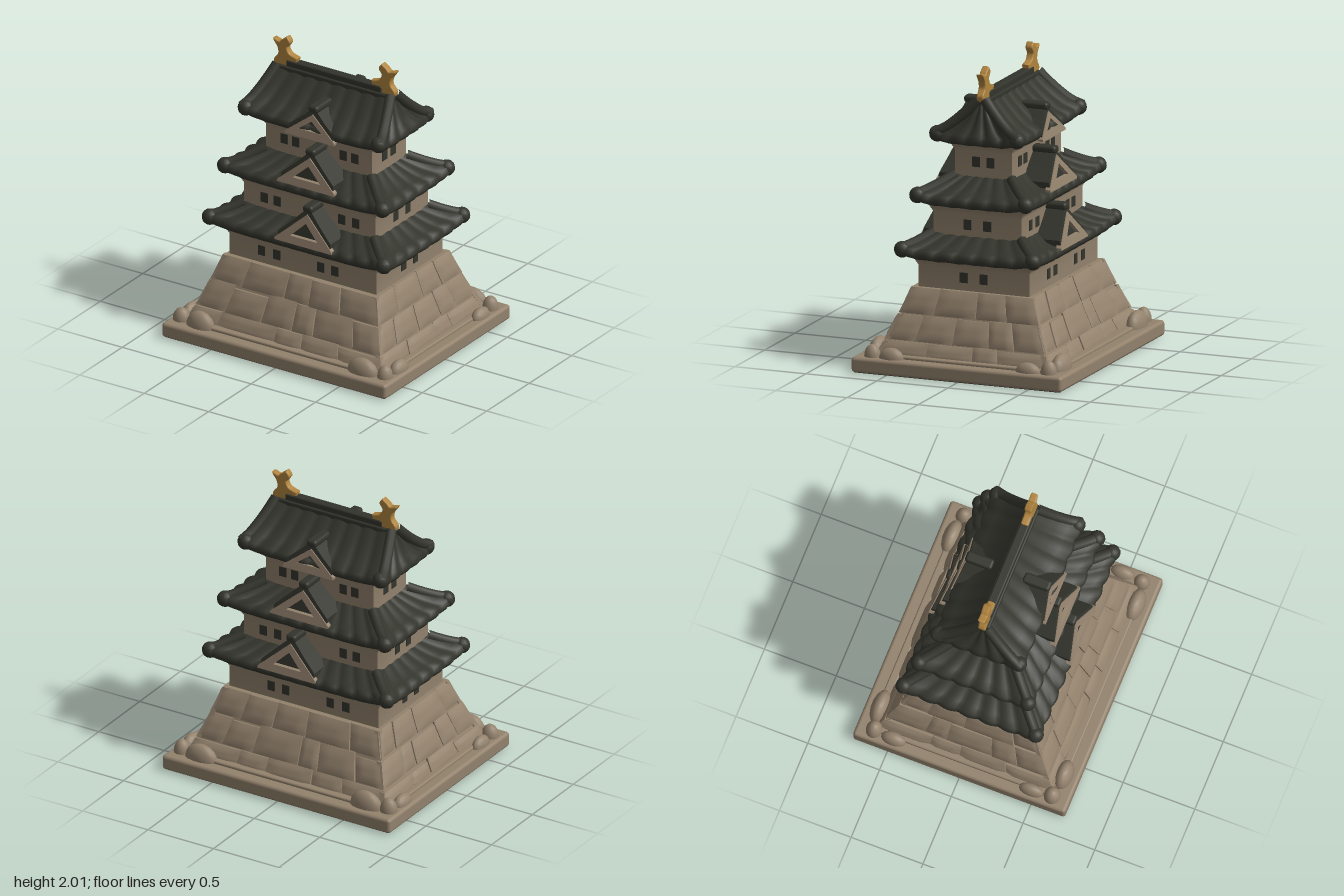
import * as THREE from 'three';
import { RoundedBoxGeometry } from 'three/addons/geometries/RoundedBoxGeometry.js';

const mat = (name, color) => Object.assign(new THREE.MeshStandardMaterial({ color }), { name });

export function createModel() {
  const stone = mat('sandstone', 0x93826d);
  const tile = mat('dark tile', 0x33342c);
  const gold = mat('gold', 0xb0843f);
  const root = new THREE.Group();
  let seed = 7;
  const rnd = () => (seed = (seed * 16807) % 2147483647) / 2147483647;

  const add = (parent, name, geo, material, x = 0, y = 0, z = 0) => {
    const m = new THREE.Mesh(geo, material);
    m.name = name;
    m.position.set(x, y, z);
    parent.add(m);
    return m;
  };

  // Point on side s of a rectangle, u runs left to right seen from outside
  const onSide = (s, u, hx, hz, y) => s === 0 ? [u * hx, y, hz] : s === 1 ? [hx, y, -u * hz]
    : s === 2 ? [-u * hx, y, -hz] : [-hx, y, u * hz];

  // Four-sided loft through rings [halfX, halfZ, y, tileWeight]
  function loft(rings, tileWidth = 0, lift = 0) {
    const pos = [], idx = [];
    for (let s = 0; s < 4; s++) {
      const half = s % 2 ? rings[2][1] : rings[2][0];
      const k = tileWidth ? Math.round(2 * half / tileWidth) : 1;
      const n = tileWidth ? k * 6 : 1, start = pos.length / 3;
      rings.forEach(([hx, hz, y, w = 0], j) => {
        for (let i = 0; i <= n; i++) {
          const u = -1 + 2 * i / n;
          const b = w * 0.016 * (Math.abs(Math.sin(Math.PI * k * i / n)) - 0.5);
          pos.push(...onSide(s, u, hx + (s % 2 ? b : 0), hz + (s % 2 ? 0 : b), y + b * 0.5 + w * lift * u ** 6));
          if (j && i) {
            const c = start + j * (n + 1) + i, a = c - n - 1;
            idx.push(a - 1, a, c, a - 1, c, c - 1);
          }
        }
      });
    }
    const g = new THREE.BufferGeometry();
    g.setAttribute('position', new THREE.Float32BufferAttribute(pos, 3));
    g.setIndex(idx);
    g.computeVertexNormals();
    return g;
  }

  // Ground slab with a dark underside
  add(root, 'groundSlab', new RoundedBoxGeometry(1.74, 0.102, 1.48, 3, 0.022), stone, 0, 0.054, 0);
  add(root, 'slabUnderside', new THREE.BoxGeometry(1.7, 0.006, 1.44), tile, 0, 0.003, 0);

  // Battered stone base: core and bulging blocks
  const batter = y => {
    const t = (0.55 - y) / 0.45, c = 0.85 * t + 0.15 * t * t;
    return [0.6 + 0.165 * c, 0.43 + 0.19 * c];
  };
  const courses = [0.1, 0.21, 0.38, 0.55];
  const core = courses.map(y => [...batter(y).map(h => h - 0.012), y - 0.008]);
  add(root, 'baseCore', loft([...core, [0.55, 0.37, 0.545]]), stone);
  const base = new THREE.Group();
  base.name = 'baseStones';
  root.add(base);
  for (let s = 0; s < 4; s++) for (let c = 0; c < 3; c++) {
    const n = (s % 2 ? 5 : 6) - (c === 1 ? 0 : 1);
    const cuts = Array.from({ length: n + 1 }, (_, i) =>
      -1 + 2 * (i === 0 || i === n ? i : i + (rnd() - 0.5) * 0.5) / n);
    for (let i = 0; i < n; i++) {
      const g = new THREE.BoxGeometry(1, 1, 1, 6, 5, 1), p = g.attributes.position;
      const out = 0.002 + rnd() * 0.014, drop = c === 2 ? 0 : (rnd() - 0.5) * 0.03;
      for (let v = 0; v < p.count; v++) {
        const a = p.getX(v), b = p.getY(v);
        const u = THREE.MathUtils.lerp(cuts[i] + 0.004, cuts[i + 1] - 0.004, a + 0.5);
        const y = THREE.MathUtils.lerp(courses[c], courses[c + 1] - 0.006, b + 0.5) + drop * (b + 0.5);
        const edge = Math.max(Math.abs(2 * a), Math.abs(2 * b)) ** 6;
        const d = p.getZ(v) > 0 ? out - 0.014 * edge : -0.04;
        const [hx, hz] = batter(y);
        p.setXYZ(v, ...onSide(s, u, hx + (s % 2 ? d : 0), hz + (s % 2 ? 0 : d), y));
      }
      g.computeVertexNormals();
      add(base, 'stoneBlock', g, stone);
    }
  }

  // Three boulders on each slab corner and rubble strips along the foot
  const ball = new THREE.SphereGeometry(1, 14, 10);
  const boulder = (x, z, rx, ry, rz) => add(root, 'boulder', ball, stone, x, 0.105, z)
    .scale.set(rx * (0.9 + 0.2 * rnd()), ry * (0.9 + 0.2 * rnd()), rz);
  for (const s of [-1, 1]) {
    for (const t of [-1, 1]) {
      boulder(s * 0.63, t * 0.64, 0.11, 0.1, 0.06);
      boulder(s * 0.79, t * 0.62, 0.055, 0.085, 0.055);
      boulder(s * 0.805, t * 0.48, 0.045, 0.065, 0.085);
    }
    add(root, 'rubbleStrip', new RoundedBoxGeometry(1.46, 0.03, 0.06, 2, 0.012), stone, 0, 0.11, s * 0.63);
    add(root, 'rubbleStrip', new RoundedBoxGeometry(0.05, 0.03, 1.18, 2, 0.012), stone, s * 0.775, 0.11, 0);
  }

  // Gabled dormer: curved roof, triangular frame and dark recess, leaning back
  function dormer(x, y, z, w, h, depth, turn) {
    const g = new THREE.Group();
    g.name = 'dormer';
    const poly = pts => pts.map(p => new THREE.Vector2(...p));
    const leaning = (shape, d) => {
      const geo = new THREE.ExtrudeGeometry(shape, { depth: d, bevelEnabled: false });
      const p = geo.attributes.position;
      for (let v = 0; v < p.count; v++) p.setZ(v, p.getZ(v) - 0.25 * p.getY(v));
      geo.computeVertexNormals();
      return geo;
    };
    const slope = [[w * 0.5, h * 0.5 + 0.04], [w * 0.92, 0.06], [w * 0.92, 0.02]];
    const mirrored = slope.map(([a, b]) => [-a, b]).reverse();
    const roof = new THREE.Shape(poly([[0, h + 0.045], ...slope, [0, h - 0.02], ...mirrored]));
    add(g, 'dormerRoof', leaning(roof, depth), tile, 0, 0, -depth);
    const frame = new THREE.Shape(poly([[-w, 0], [w, 0], [w, 0.015], [0, h], [-w, 0.015]]));
    frame.holes.push(new THREE.Path(poly([[-w * 0.48, 0.05], [0, h * 0.72], [w * 0.48, 0.05]])));
    add(g, 'dormerFrame', leaning(frame, 0.035), stone, 0, 0, -0.028);
    const recess = new THREE.Shape(poly([[-w * 0.8, 0.01], [w * 0.8, 0.01], [0, h * 0.9]]));
    add(g, 'dormerRecess', leaning(recess, 0.008), tile, 0, 0, -0.03);
    add(g, 'dormerRidge', new RoundedBoxGeometry(0.075, 0.05, depth, 3, 0.02), tile,
      0, h + 0.035, -depth / 2 - 0.25 * h + 0.01);
    g.position.set(x, y, z * turn);
    if (turn < 0) g.rotation.y = Math.PI;
    root.add(g);
  }

  // Walls that flare out below the eaves
  function walls(hx, hz, y0, y1) {
    add(root, 'storeyWall', loft([[hx, hz, y0], [hx, hz, y1 - 0.08],
      [hx + 0.02, hz + 0.02, y1 - 0.04], [hx + 0.07, hz + 0.06, y1]]), stone);
  }

  // Tiled roof from eave [halfX, halfZ, y] up a concave slope to the top
  function tiledRoof([ex, ez, ey], [tx, tz, ty]) {
    const lerp = THREE.MathUtils.lerp;
    const slope = [0, 0.25, 0.5, 0.75, 1].map(t => [lerp(ex - 0.015, tx, t), lerp(ez - 0.01, tz, t),
      lerp(ey + 0.035, ty, t ** 1.4), 1 - 0.6 * t]);
    const eave = [[ex - 0.15, ez - 0.12, ey + 0.01], [ex - 0.06, ez - 0.05, ey - 0.02, 0.5],
      [ex - 0.015, ez - 0.015, ey - 0.025, 1], [ex, ez, ey, 1]];
    add(root, 'tiledRoof', loft([...eave, ...slope], 0.13, 0.03), tile);
    // Rolled hips with rounded ends
    for (const sx of [-1, 1]) for (const sz of [-1, 1]) {
      const path = new THREE.CatmullRomCurve3(slope.map(([x, z, y]) => new THREE.Vector3(sx * x, y + 0.004, sz * z)));
      add(root, 'hipRoll', new THREE.TubeGeometry(path, 16, 0.036, 10), tile);
      add(root, 'hipEnd', ball, tile, sx * (ex - 0.035), ey + 0.032, sz * (ez - 0.03)).scale.setScalar(0.054);
    }
  }

  // Windows as thin plates: pairs on each long side, one pair on each short side
  function windows(hx, hz, y, xs, zOff) {
    for (const s of [-1, 1]) {
      for (const x of xs) add(root, 'window', new THREE.BoxGeometry(0.055, 0.068, 0.008), tile, x, y, s * hz);
      for (const t of [-1, 1])
        add(root, 'window', new THREE.BoxGeometry(0.008, 0.068, 0.055), tile, s * hx, y, t * zOff);
    }
  }

  // Lower storey
  walls(0.57, 0.39, 0.54, 0.77);
  windows(0.57, 0.39, 0.63, [-0.32, -0.2, 0.14, 0.25], 0.07);
  tiledRoof([0.71, 0.49, 0.775], [0.505, 0.31, 0.895]);
  // Middle storey
  walls(0.51, 0.31, 0.86, 1.12);
  windows(0.51, 0.31, 0.97, [-0.35, -0.25, 0.25, 0.36], 0.07);
  tiledRoof([0.645, 0.41, 1.13], [0.41, 0.2, 1.27]);
  // Upper storey
  walls(0.41, 0.2, 1.22, 1.52);
  windows(0.41, 0.2, 1.37, [-0.27, -0.18, 0.19, 0.28], 0.05);
  tiledRoof([0.55, 0.31, 1.53], [0.44, 0.025, 1.79]);
  // Dormers front and back on every roof
  for (const s of [1, -1]) {
    dormer(0.07, 0.8, 0.493, 0.22, 0.21, 0.16, s);
    dormer(0.03, 1.17, 0.4, 0.22, 0.2, 0.17, s);
    dormer(0.01, 1.49, 0.325, 0.19, 0.16, 0.19, s);
  }

  // Main ridge
  add(root, 'ridgeBase', new RoundedBoxGeometry(0.89, 0.05, 0.09, 2, 0.012), tile, 0, 1.775, 0);
  add(root, 'ridgeCap', new RoundedBoxGeometry(0.74, 0.055, 0.065, 2, 0.012), tile, 0, 1.813, 0);

  // Golden fish finials at the ridge ends
  const spline = (...pts) => fish.splineThru(pts.map(p => new THREE.Vector2(...p)));
  const fish = new THREE.Shape();
  fish.moveTo(0.33, 1.79);
  fish.lineTo(0.455, 1.79);
  spline([0.462, 1.82], [0.43, 1.865], [0.435, 1.915], [0.468, 1.962]);
  spline([0.425, 1.95], [0.4, 1.97], [0.37, 1.992]);
  spline([0.352, 1.965], [0.375, 1.925], [0.352, 1.88], [0.295, 1.86]);
  fish.lineTo(0.3, 1.835);
  const fishGeo = new THREE.ExtrudeGeometry(fish,
    { depth: 0.026, bevelThickness: 0.012, bevelSize: 0.008, bevelSegments: 3, curveSegments: 6 });
  fishGeo.translate(0, 0, -0.013);
  for (const r of [0, Math.PI]) add(root, 'fishFinial', fishGeo, gold).rotation.y = r;

  return root;
}
